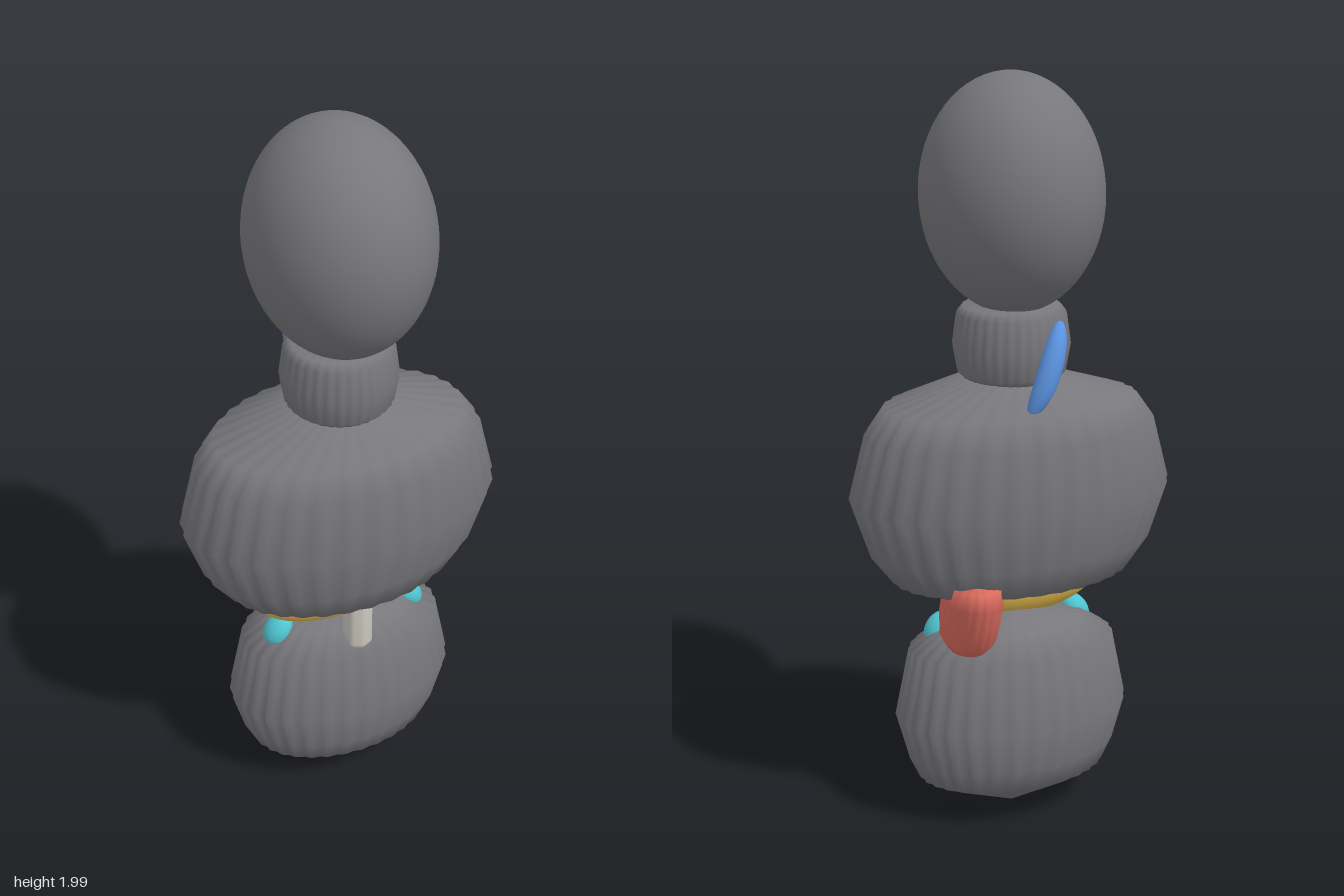
import * as THREE from 'three';

const BODY = 0x77777c;

function addMesh(group, name, geometry, color) {
  const material = new THREE.MeshStandardMaterial({ color });
  const mesh = new THREE.Mesh(geometry, material);
  mesh.name = name;
  group.add(mesh);
  return mesh;
}

// Skin over elliptical rings [y, rx, rz, zOffset], bottom to top, with vertical flutes.
function flutedLoft(rings, waves, amp, perWave = 4) {
  const n = waves * perWave;
  const pos = [], index = [];
  for (const [y, rx, rz, oz = 0] of rings) {
    for (let i = 0; i < n; i++) {
      const a = (i / n) * Math.PI * 2;
      const k = 1 + amp * (Math.cos(a * waves) - 1);
      pos.push(rx * k * Math.cos(a), y, oz + rz * k * Math.sin(a));
    }
  }
  for (let r = 0; r < rings.length - 1; r++) {
    for (let i = 0; i < n; i++) {
      const a = r * n + i, b = r * n + (i + 1) % n;
      index.push(a, a + n, b, b, a + n, b + n);
    }
  }
  const g = new THREE.BufferGeometry();
  g.setAttribute('position', new THREE.Float32BufferAttribute(pos, 3));
  g.setIndex(index);
  g.computeVertexNormals();
  return g;
}

function ellipsoid(rx, ry, rz) {
  return new THREE.SphereGeometry(1, 48, 32).scale(rx, ry, rz);
}

export function createModel() {
  const model = new THREE.Group();
  model.name = 'stackedFigure';

  // Smooth egg head
  addMesh(model, 'head', ellipsoid(0.228, 0.3, 0.273), BODY).position.y = 1.7;

  // Fluted body segments
  addMesh(model, 'neck', flutedLoft([
    [1.2, 0, 0], [1.23, 0.12, 0.12], [1.25, 0.14, 0.14], [1.32, 0.152, 0.152],
    [1.4, 0.141, 0.141], [1.42, 0.125, 0.125], [1.43, 0, 0],
  ], 32, 0.012), BODY);

  addMesh(model, 'chest', flutedLoft([
    [0.62, 0, 0], [0.7, 0.325, 0.21], [0.78, 0.385, 0.24], [0.93, 0.435, 0.268],
    [1.1, 0.39, 0.25], [1.17, 0.34, 0.22], [1.235, 0.13, 0.12], [1.25, 0, 0],
  ], 32, 0.013), BODY);

  addMesh(model, 'pelvis', flutedLoft([
    [0.01, 0, 0], [0.125, 0.262, 0.166], [0.19, 0.292, 0.187], [0.31, 0.324, 0.21],
    [0.5, 0.285, 0.178], [0.56, 0.2, 0.125], [0.6, 0, 0],
  ], 32, 0.013), BODY);

  // Front tube with pointed lower end
  const tube = addMesh(model, 'frontTube', flutedLoft([
    [0.498, 0, 0], [0.515, 0.036, 0.036], [0.53, 0.041, 0.041],
    [0.74, 0.041, 0.041], [0.76, 0, 0],
  ], 8, 0.03), 0xc8c5bb);
  tube.position.z = 0.125;

  // Yellow bowl between chest and pelvis
  const bowl = addMesh(model, 'waistBowl', ellipsoid(0.225, 0.105, 0.085), 0xe0b84c);
  bowl.position.set(-0.03, 0.665, 0.03);

  // Red flared lobe leaning back on the left side
  const lobe = addMesh(model, 'sideLobe', flutedLoft([
    [0.51, 0, 0, -0.075], [0.525, 0.05, 0.07, -0.07], [0.56, 0.07, 0.105, -0.075],
    [0.62, 0.075, 0.117, -0.09], [0.68, 0.075, 0.115, -0.115],
    [0.73, 0.07, 0.1, -0.135], [0.75, 0, 0, -0.135],
  ], 20, 0.015), 0xd96a5e);
  lobe.position.x = 0.15;

  // Turquoise buds, mirrored
  for (const side of [1, -1]) {
    const bud = addMesh(model, side > 0 ? 'leftBud' : 'rightBud',
      ellipsoid(0.036, 0.05, 0.04), 0x4fc4cf);
    bud.position.set(side * 0.195, 0.545, 0.03);
    bud.rotation.z = side * 0.6;
  }

  // Blue crescent behind the neck, tapered at both ends
  const path = new THREE.CatmullRomCurve3([
    new THREE.Vector3(-0.08, 1.4, -0.135), new THREE.Vector3(-0.055, 1.34, -0.168),
    new THREE.Vector3(-0.02, 1.25, -0.185), new THREE.Vector3(0.02, 1.165, -0.18),
  ]);
  const crescent = new THREE.TubeGeometry(path, 32, 0.03, 16);
  const p = crescent.attributes.position, v = new THREE.Vector3();
  for (let i = 0; i < p.count; i++) {
    const t = Math.floor(i / 17) / 32;
    const c = path.getPointAt(t);
    v.fromBufferAttribute(p, i).sub(c).multiplyScalar(Math.sqrt(Math.max(0, 4 * t * (1 - t)))).add(c);
    p.setXYZ(i, v.x, v.y, v.z);
  }
  crescent.computeVertexNormals();
  addMesh(model, 'backCrescent', crescent, 0x5b93e0);

  return model;
}
